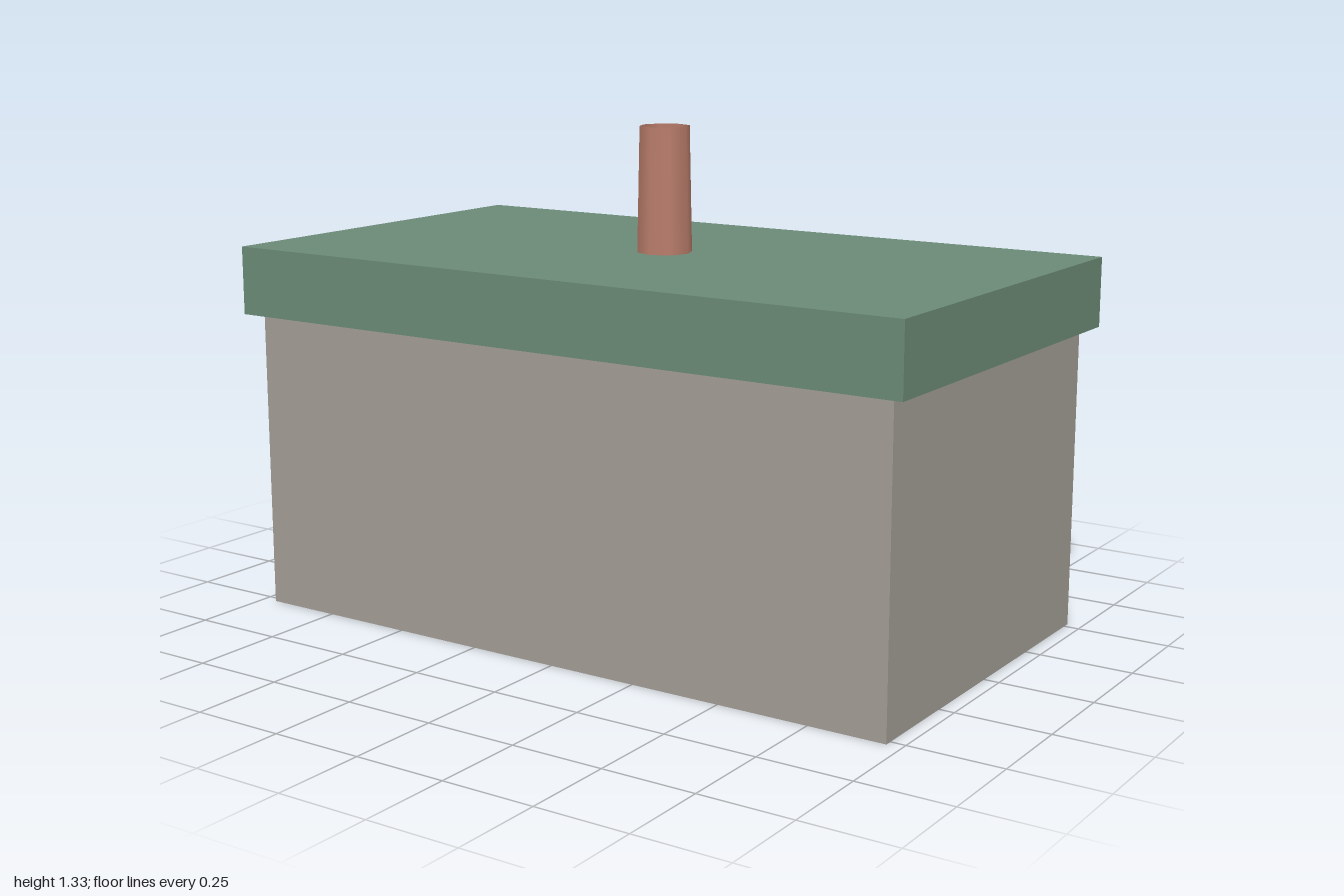
import * as THREE from 'three';

const BASE_HEIGHT = 0.815;
const LID_TOP = 1;
const CHIMNEY_TOP = 1.333;

export function createModel() {
  const model = new THREE.Group();

  function addPart(name, geometry, color, bottom, top, side = THREE.FrontSide) {
    const material = new THREE.MeshStandardMaterial({ color, side });
    const mesh = new THREE.Mesh(geometry, material);
    mesh.name = name;
    mesh.position.y = (bottom + top) / 2;
    model.add(mesh);
  }

  // Plain walls
  addPart('walls', new THREE.BoxGeometry(1.92, BASE_HEIGHT, 1.04), 0xa19c94, 0, BASE_HEIGHT);

  // Flat roof slab, overhanging the walls on all sides
  addPart('roof', new THREE.BoxGeometry(2, LID_TOP - BASE_HEIGHT, 1.11), 0x6b8a76, BASE_HEIGHT, LID_TOP);

  // Tapered eight-sided chimney pipe, open at both ends
  const pipe = new THREE.CylinderGeometry(0.067, 0.074, CHIMNEY_TOP - LID_TOP, 8, 1, true);
  addPart('chimney', pipe, 0xb87c6a, LID_TOP, CHIMNEY_TOP, THREE.DoubleSide);

  return model;
}
